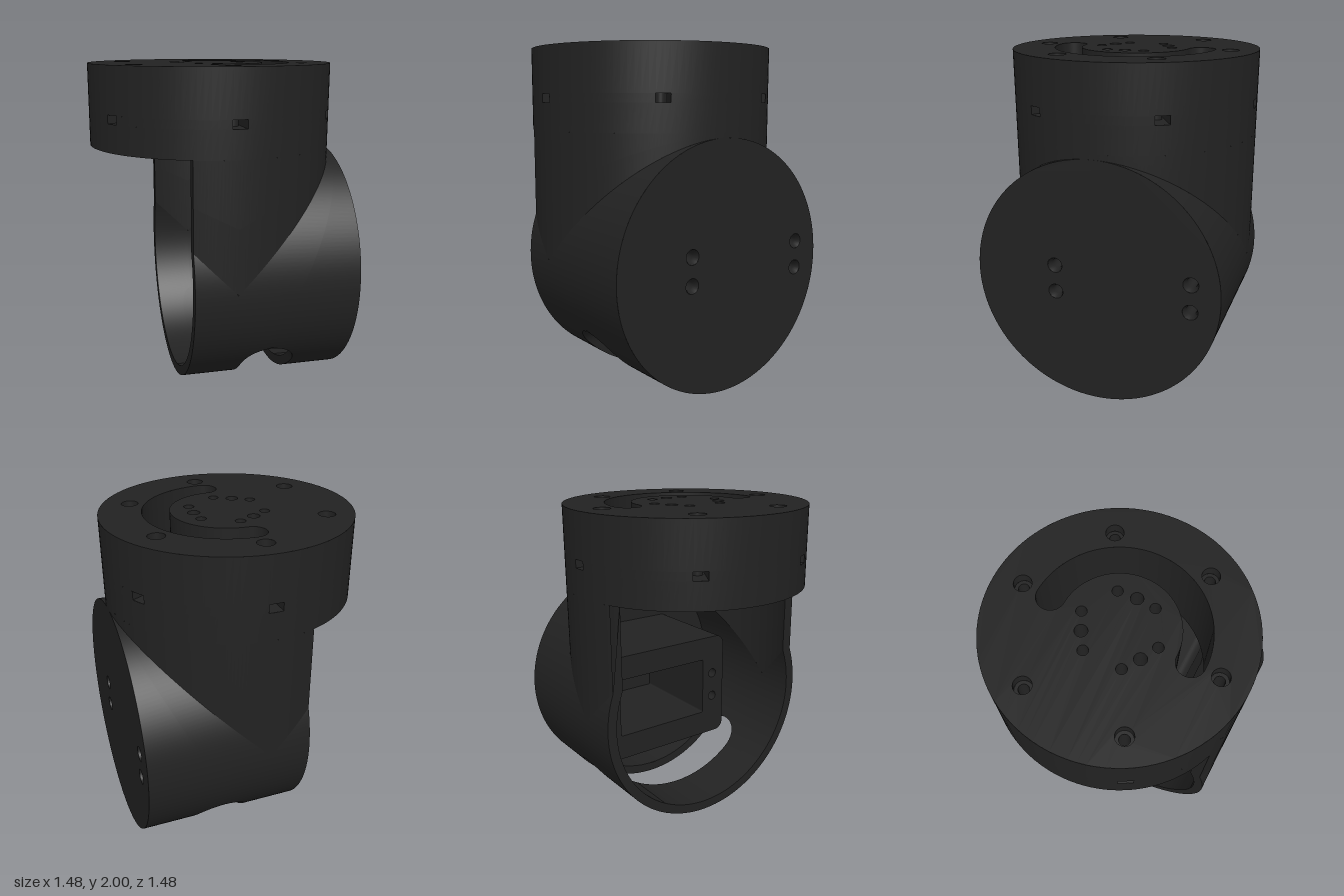
import * as THREE from 'three';

const R = 0.74, RI = 0.68;          // outer and inner radius of the shell
const CY = 0.74;                    // height of the horizontal axis
const CUT = -0.25, ROOF = 1.51, TOP = 2;
const PI = Math.PI;

// Surface swept over a u,v grid by a rule returning [x, y, z]
function grid(fn, nu, nv) {
  const pos = [], idx = [];
  for (let i = 0; i <= nu; i++)
    for (let j = 0; j <= nv; j++) pos.push(...fn(i / nu, j / nv));
  for (let i = 0; i < nu; i++)
    for (let j = 0; j < nv; j++) {
      const a = i * (nv + 1) + j, b = a + nv + 1;
      idx.push(a, a + 1, b, b, a + 1, b + 1);
    }
  const g = new THREE.BufferGeometry();
  g.setAttribute('position', new THREE.Float32BufferAttribute(pos, 3));
  g.setIndex(idx);
  g.computeVertexNormals();
  return g;
}

const lerp = THREE.MathUtils.lerp;
const circle = (x, y, r) => new THREE.Path().absarc(x, y, r, 0, 2 * PI, false);

function roundedRect(path, x0, y0, x1, y1, r) {
  path.moveTo(x0 + r, y0);
  path.absarc(x1 - r, y0 + r, r, -PI / 2, 0, false);
  path.absarc(x1 - r, y1 - r, r, 0, PI / 2, false);
  path.absarc(x0 + r, y1 - r, r, PI / 2, PI, false);
  path.absarc(x0 + r, y0 + r, r, PI, 1.5 * PI, false);
  return path;
}

export function createModel() {
  const model = new THREE.Group();
  const black = new THREE.MeshStandardMaterial({ color: 0x222222, side: THREE.DoubleSide });
  black.name = 'matte black';
  const add = (name, geometry, parent = model) => {
    const m = new THREE.Mesh(geometry, black);
    m.name = name;
    parent.add(m);
    return m;
  };
  const group = (name) => {
    const g = new THREE.Group();
    g.name = name;
    model.add(g);
    return g;
  };

  // ---- Head: round drum with a curved cable slot and screw holes ----
  const head = group('head');
  const slot = new THREE.Path();
  slot.absarc(0, 0, 0.49, -PI / 2, PI / 2, false);
  slot.absarc(0, 0.41, 0.08, PI / 2, 1.5 * PI, false);
  slot.absarc(0, 0, 0.33, PI / 2, -PI / 2, true);
  slot.absarc(0, -0.41, 0.08, PI / 2, 1.5 * PI, false);

  const small = [[0.2, 0, 0.036]];
  for (const s of [-1, 1])
    small.push([0, s * 0.225, 0.03], [-0.1, s * 0.173, 0.036], [-0.193, s * 0.112, 0.03], [0.193, s * 0.112, 0.03]);
  const through = [slot, ...small.map((h) => circle(...h))];
  const angles = [0, 1, 2, 3, 4, 5].map((k) => PI / 2 + k * PI / 3);
  const screws = (r) => angles.map((a) => circle(0.58 * Math.cos(a), 0.58 * Math.sin(a), r));

  const disc = (name, y, holes) => {
    const s = new THREE.Shape().absarc(0, 0, R, 0, 2 * PI, false);
    s.holes.push(...holes);
    add(name, new THREE.ShapeGeometry(s, 48).rotateX(PI / 2).translate(0, y, 0), head);
  };
  disc('headTop', TOP, [...through, ...screws(0.05)]);
  disc('headUnderside', ROOF, [...through, ...screws(0.03)]);

  // Hole walls
  const holeWall = (name, path, y0, y1) => {
    const p = path.getPoints(36);
    p.push(p[0]);
    const n = p.length - 1;
    add(name, grid((u, v) => {
      const q = p[Math.round(u * n)];
      return [q.x, lerp(y0, y1, v), q.y];
    }, n, 1), head);
  };
  through.forEach((p, i) => holeWall(i ? 'hornHoleWall' : 'cableSlotWall', p, ROOF, TOP));
  screws(0.05).forEach((p) => holeWall('screwCounterbore', p, 1.94, TOP));
  screws(0.03).forEach((p) => holeWall('screwHole', p, ROOF, 1.94));
  for (const a of angles)
    add('screwSeat', new THREE.RingGeometry(0.03, 0.05, 24).rotateX(-PI / 2)
      .translate(0.58 * Math.cos(a), 1.94, 0.58 * Math.sin(a)), head);

  // Drum wall in three bands, the middle one interrupted by nut pockets
  const band = (y0, y1, a0, a1, n) => add('headWall', grid((u, v) => {
    const a = lerp(a0, a1, u);
    return [R * Math.cos(a), lerp(y0, y1, v), R * Math.sin(a)];
  }, n, 1), head);
  const half = 0.042 / R;
  band(ROOF, 1.675, 0, 2 * PI, 120);
  band(1.725, TOP, 0, 2 * PI, 120);
  for (const a of angles) {
    band(1.675, 1.725, a + half, a + PI / 3 - half, 18);
    const box = new THREE.BoxGeometry(0.084, 0.05, 0.22);
    const ix = Array.from(box.index.array);
    box.setIndex([...ix.slice(0, 24), ...ix.slice(30)]);   // open outer side
    box.clearGroups();
    add('nutPocket', box.translate(0, 1.7, 0.629).rotateY(PI / 2 - a), head);
  }

  // ---- Body shell: vertical drum merged with a horizontal drum ----
  const body = group('body');
  const SC = 0.245, SW = 0.165, SY = 0.2, SH = 0.14;       // bottom arch
  const archHalf = (y) => y < SY ? SW : y < SY + SH ? SW * Math.sqrt(1 - ((y - SY) / SH) ** 2) : 0;

  function shell(name, r) {
    const t0 = Math.acos(CUT / r);
    add(name + 'Neck', grid((u, v) => {
      const t = lerp(-t0, t0, u), x = r * Math.cos(t);
      return [x, lerp(CY + Math.abs(x), ROOF, v), r * Math.sin(t)];
    }, 144, 2), body);
    // Horizontal barrel strips; p is the angle measured from the bottom
    const strip = (p0, p1, xa, xb, n) => add(name + 'Barrel', grid((u, v) => {
      const p = lerp(p0, p1, u), dy = -r * Math.cos(p);
      return [lerp(xa(dy), xb(dy), v), CY + dy, r * Math.sin(p)];
    }, n, 2), body);
    strip(-PI / 2, PI / 2, () => CUT, (d) => SC - archHalf(CY + d), 180);
    strip(-PI / 2, PI / 2, (d) => SC + archHalf(CY + d), () => r, 180);
    for (const s of [-1, 1]) {
      strip(s * PI / 2, s * PI, (d) => d, () => r, 48);
      strip(s * PI / 2, s * Math.acos(CUT / r), () => CUT, (d) => -d, 12);
    }
  }
  shell('outer', R);
  shell('inner', RI);

  // Edge of the arched opening through the bottom
  const depth = (r, y) => Math.sqrt(Math.max(0, r * r - (CY - y) ** 2));
  for (const s of [-1, 1])
    add('archEdge', grid((u, v) => {
      const k = u * 3;                                      // side, arch, side
      let x, y;
      if (k <= 1) { x = SC - SW; y = SY * k; }
      else if (k >= 2) { x = SC + SW; y = SY * (3 - k); }
      else { x = SC - SW * Math.cos((k - 1) * PI); y = SY + SH * Math.sin((k - 1) * PI); }
      return [x, y, s * lerp(depth(RI, y), depth(R, y), v)];
    }, 72, 1), body);

  // Flat shapes drawn in the z,y plane and set at a given x
  const upright = (geometry, x) => geometry.rotateY(-PI / 2).translate(x, 0, 0);

  // Rim of the open side
  const zo = Math.sqrt(R * R - CUT * CUT), zi = Math.sqrt(RI * RI - CUT * CUT);
  const ao = Math.asin(-CUT / R), ai = Math.asin(-CUT / RI);
  const rim = new THREE.Shape();
  rim.moveTo(-zo, ROOF);
  rim.absarc(0, CY, R, PI - ao, 2 * PI + ao, false);
  rim.lineTo(zo, ROOF);
  rim.lineTo(zi, ROOF);
  rim.absarc(0, CY, RI, 2 * PI + ai, PI - ai, true);
  rim.lineTo(-zi, ROOF);
  // The rim sits clear of the arch, so it stays whole
  add('openRim', upright(new THREE.ShapeGeometry(rim, 60), CUT), body);

  // Closed end with four mounting holes
  const mounts = [];
  for (const z of [0.24, -0.57]) for (const y of [0.665, 0.83]) mounts.push([z, y]);
  const endDisc = (name, r, hole, x) => {
    const s = new THREE.Shape().absarc(0, CY, r, 0, 2 * PI, false);
    s.holes.push(...mounts.map(([z, y]) => circle(z, y, hole)));
    add(name, upright(new THREE.ShapeGeometry(s, 60), x), body);
  };
  endDisc('endFace', R, 0.045, R);
  endDisc('endInside', RI, 0.03, RI);
  const bore = [[0.03, 0.02], [0.03, 0.7], [0.045, R]].map((p) => new THREE.Vector2(...p));
  for (const [z, y] of mounts)
    add('mountingHole', new THREE.LatheGeometry(bore, 24).rotateZ(-PI / 2).translate(0, y, z), body);

  // ---- Inner motor mount with a rectangular pocket ----
  const block = roundedRect(new THREE.Shape(), -0.62, 0.4, 0.33, 1.09, 0.06);
  block.holes.push(roundedRect(new THREE.Path(), -0.49, 0.56, 0.16, 0.94, 0.01));
  block.holes.push(...mounts.map(([z, y]) => circle(z, y, 0.03)));
  add('motorMount', upright(new THREE.ExtrudeGeometry(block, { depth: 0.66, bevelEnabled: false, curveSegments: 12 }), RI));

  return model;
}
